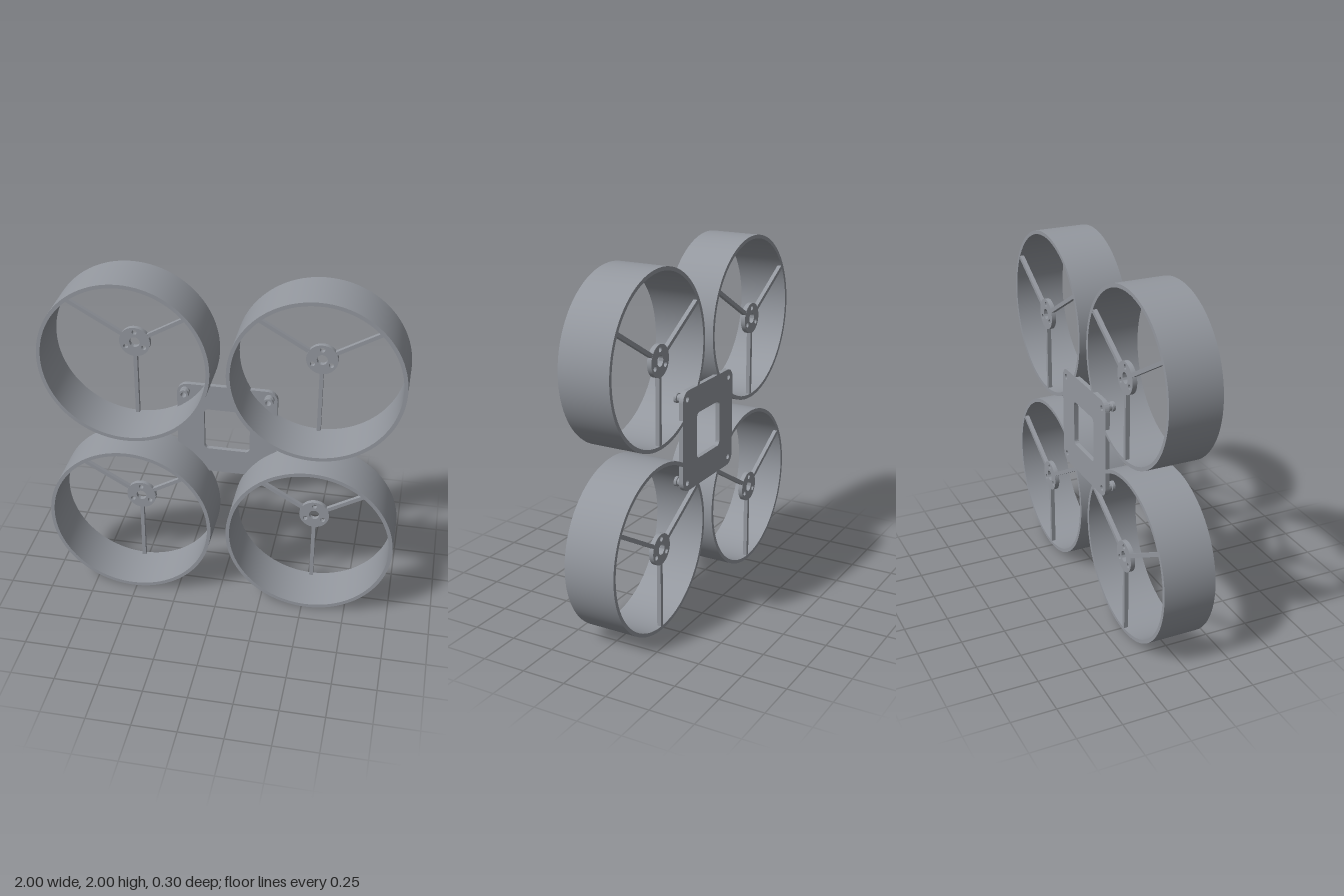
import * as THREE from 'three';
import { toCreasedNormals } from 'three/addons/utils/BufferGeometryUtils.js';

const material = new THREE.MeshStandardMaterial({ color: 0x94989f });
const BACK = -0.148, FRONT = 0.148, THICK = 0.026;
const RING_OFFSET = 0.522, RING_R = 0.478, RING_INNER = 0.457;

function part(name, geometry) {
  const mesh = new THREE.Mesh(toCreasedNormals(geometry, 0.5), material);
  mesh.name = name;
  return mesh;
}

function circleHole(x, y, r) {
  return new THREE.Path().absarc(x, y, r, 0, Math.PI * 2, true);
}

function roundedSquare(path, h, r) {
  path.absarc(h - r, h - r, r, 0, Math.PI / 2);
  path.absarc(r - h, h - r, r, Math.PI / 2, Math.PI);
  path.absarc(r - h, r - h, r, Math.PI, Math.PI * 1.5);
  path.absarc(h - r, r - h, r, Math.PI * 1.5, Math.PI * 2);
  path.closePath();
  return path;
}

// Flat sheet lying against the back plane
function sheet(shape) {
  return new THREE.ExtrudeGeometry(shape, { depth: THICK, bevelEnabled: false, curveSegments: 24 })
    .translate(0, 0, BACK);
}

// Closed profile of [radius, z] points turned around the z axis
function turned(points, segments) {
  const profile = points.map(([r, z]) => new THREE.Vector2(r, z));
  return new THREE.LatheGeometry(profile, segments).rotateX(Math.PI / 2);
}

function createDuct() {
  const duct = new THREE.Group();
  duct.name = 'propellerDuct';

  // Square-edged guard ring
  duct.add(part('guardRing', turned([
    [RING_INNER, BACK], [RING_R, BACK], [RING_R, FRONT], [RING_INNER, FRONT], [RING_INNER, BACK],
  ], 96)));

  // Motor mount with shaft hole and three screw holes
  const disc = new THREE.Shape().absarc(0, 0, 0.088, 0, Math.PI * 2);
  disc.holes.push(circleHole(0, 0, 0.03));
  for (let i = 0; i < 3; i++) {
    const a = Math.PI / 2 + i * Math.PI * 2 / 3;
    disc.holes.push(circleHole(Math.cos(a) * 0.06, Math.sin(a) * 0.06, 0.014));
  }
  duct.add(part('motorMount', sheet(disc)));

  // Three spokes from mount to ring
  const inner = 0.084, outer = RING_INNER + 0.008;
  for (let i = 0; i < 3; i++) {
    const spoke = part('spoke', new THREE.BoxGeometry(outer - inner, 0.022, 0.024)
      .translate((inner + outer) / 2, 0, BACK + 0.0125));
    spoke.rotation.z = Math.PI / 6 + i * Math.PI * 2 / 3;
    duct.add(spoke);
  }
  return duct;
}

export function createModel() {
  const model = new THREE.Group();
  model.name = 'quadFrame';
  const corners = [[-1, -1], [1, -1], [-1, 1], [1, 1]];

  for (const [sx, sy] of corners) {
    const duct = createDuct();
    duct.position.set(sx * RING_OFFSET, 1 + sy * RING_OFFSET, 0);
    model.add(duct);
  }

  // Centre plate with square window and corner holes
  const plate = roundedSquare(new THREE.Shape(), 0.287, 0.06);
  plate.holes.push(roundedSquare(new THREE.Path(), 0.132, 0.025));
  for (const [sx, sy] of corners) plate.holes.push(circleHole(sx * 0.24, sy * 0.24, 0.016));
  const plateMesh = part('centrePlate', sheet(plate));
  plateMesh.position.y = 1;
  model.add(plateMesh);

  // Grooved hollow standoffs on the front of the plate
  const z0 = BACK + THICK - 0.002;
  for (const [sx, sy] of corners) {
    const standoff = part('standoff', turned([
      [0.016, z0], [0.028, z0], [0.028, z0 + 0.015], [0.022, z0 + 0.018], [0.022, z0 + 0.029],
      [0.028, z0 + 0.032], [0.028, z0 + 0.047], [0.016, z0 + 0.047], [0.016, z0],
    ], 24));
    standoff.position.set(sx * 0.24, 1 + sy * 0.24, 0);
    model.add(standoff);
  }
  return model;
}
